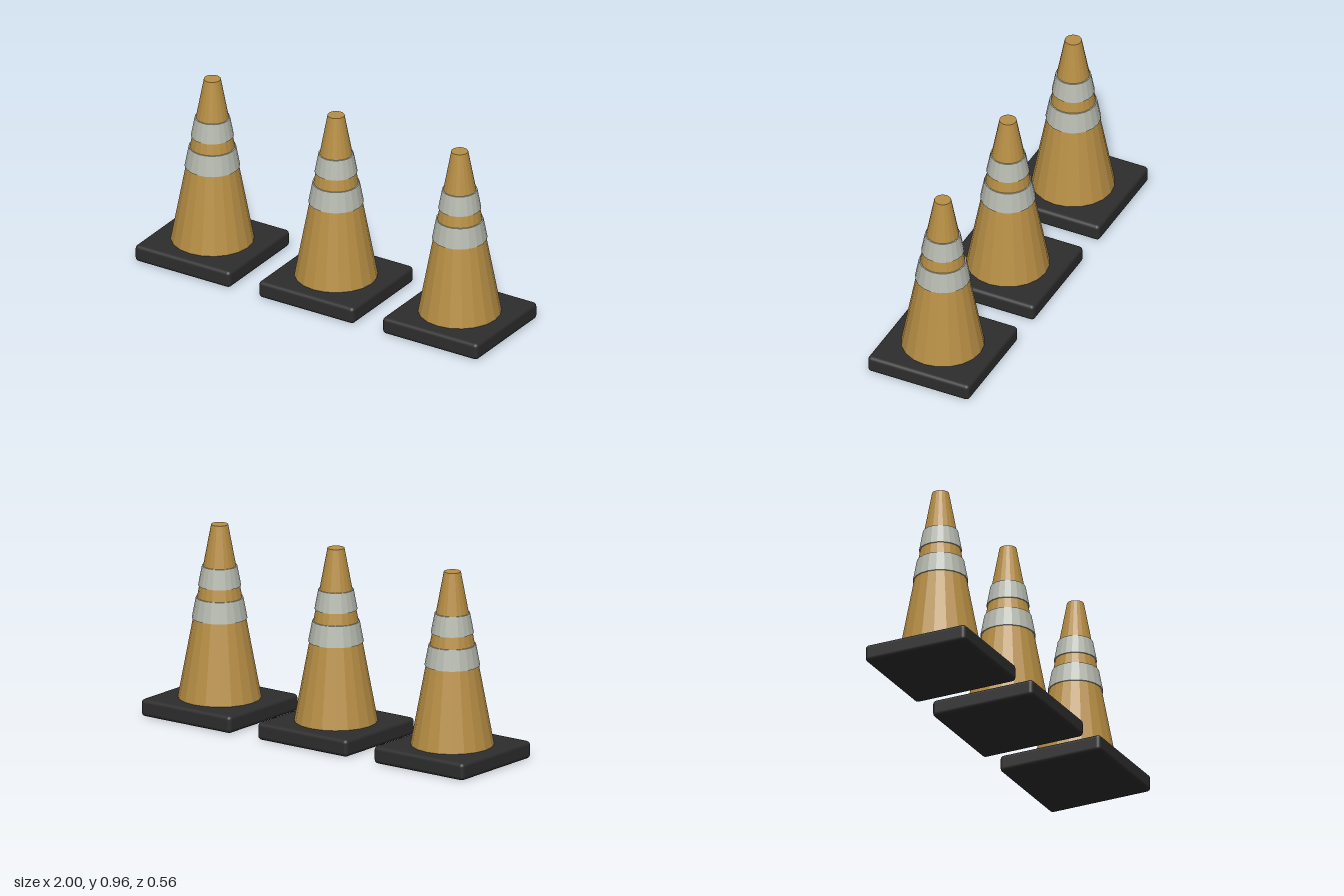
import * as THREE from 'three';
import { RoundedBoxGeometry } from 'three/addons/geometries/RoundedBoxGeometry.js';

const SIDES = 20;
const BASE_TOP = 0.088, TOP = 0.965;
const R_BOTTOM = 0.206, R_TOP = 0.042;

// Cone radius at a given height
const radiusAt = (y) => R_BOTTOM + (R_TOP - R_BOTTOM) * (y - BASE_TOP) / (TOP - BASE_TOP);

// Faceted section of the cone between two heights, swollen by an offset
function section(y0, y1, offset) {
  const geo = new THREE.CylinderGeometry(radiusAt(y1) + offset, radiusAt(y0) + offset, y1 - y0, SIDES);
  geo.translate(0, (y0 + y1) / 2, 0);
  const flat = geo.toNonIndexed();
  flat.computeVertexNormals();
  return flat;
}

function mesh(name, geometry, material) {
  const m = new THREE.Mesh(geometry, material);
  m.name = name;
  return m;
}

export function createModel() {
  const orange = new THREE.MeshStandardMaterial({ color: 0xb88f45 });
  orange.name = 'ochre orange';
  const grey = new THREE.MeshStandardMaterial({ color: 0xb6baaf });
  grey.name = 'reflective grey';
  const black = new THREE.MeshStandardMaterial({ color: 0x2d2d2d });
  black.name = 'rubber black';

  const baseGeo = new RoundedBoxGeometry(0.556, BASE_TOP, 0.556, 3, 0.02);
  baseGeo.translate(0, BASE_TOP / 2, 0);
  const bodyGeo = section(BASE_TOP - 0.004, TOP, 0);
  const lowerGeo = section(0.49, 0.595, 0.006);
  const upperGeo = section(0.655, 0.755, 0.006);

  // Row of three identical cones
  const model = new THREE.Group();
  model.name = 'trafficCones';
  ['rightCone', 'middleCone', 'leftCone'].forEach((name, i) => {
    const cone = new THREE.Group();
    cone.name = name;
    cone.position.x = (i - 1) * 0.722;
    cone.add(
      mesh('base', baseGeo, black),
      mesh('body', bodyGeo, orange),
      mesh('lowerBand', lowerGeo, grey),
      mesh('upperBand', upperGeo, grey),
    );
    model.add(cone);
  });
  return model;
}
